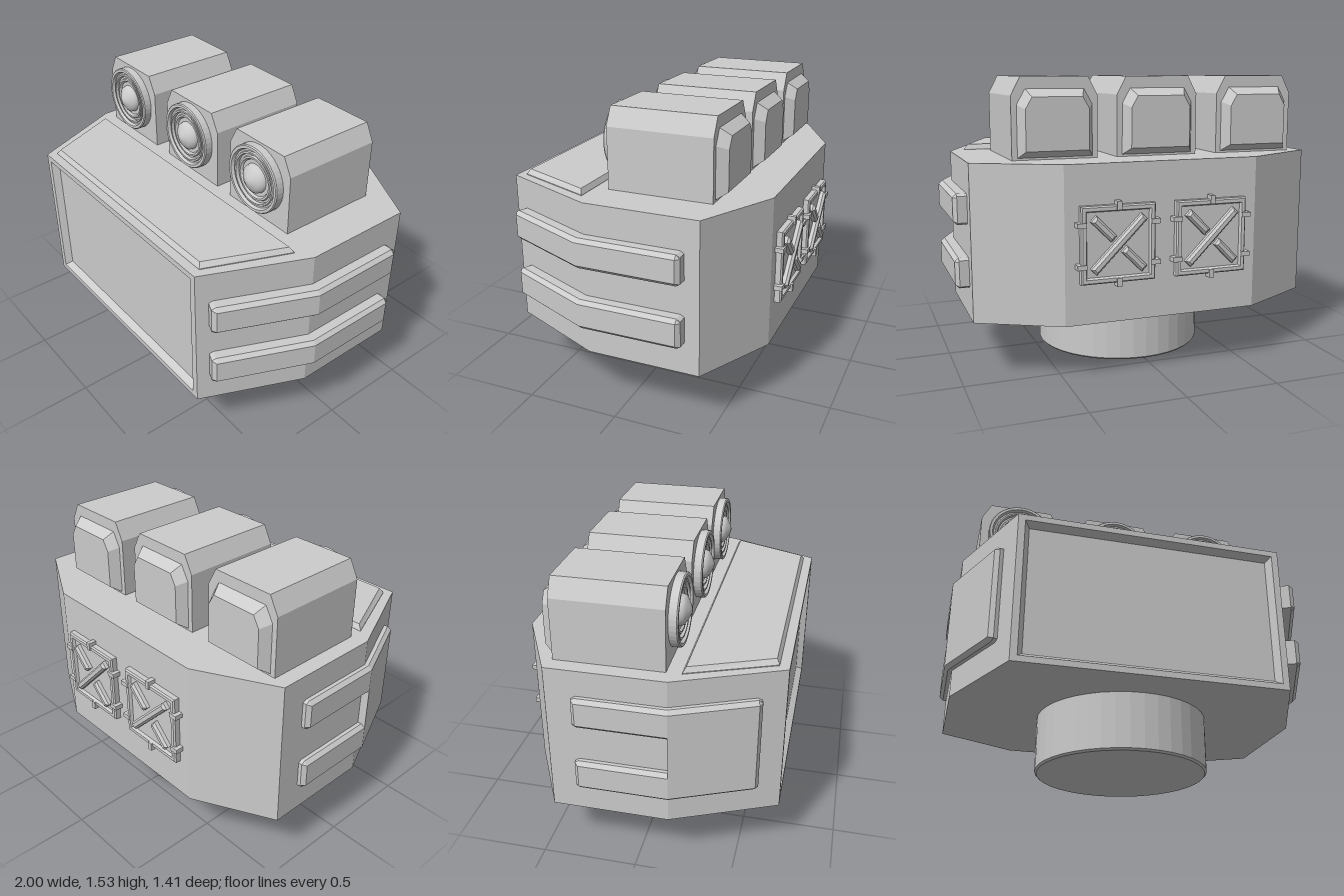
import * as THREE from 'three';

const CX = -0.015; // centre line of the housing
const BEND = 0.17; // z where the side walls turn towards the front
const flat = new THREE.MeshStandardMaterial({ color: 0xcccccc, flatShading: true });
const smooth = new THREE.MeshStandardMaterial({ color: 0xcccccc });

function add(parent, name, geometry, material = flat) {
  const mesh = new THREE.Mesh(geometry, material);
  mesh.name = name;
  parent.add(mesh);
  return mesh;
}

// Skin a row of convex rings and cap both ends; rings run counterclockwise seen from the last one
function loft(rings) {
  const pos = [];
  const tri = (...pts) => pts.forEach((p) => pos.push(...p));
  const n = rings[0].length;
  for (let i = 0; i + 1 < rings.length; i++) {
    for (let j = 0; j < n; j++) {
      const k = (j + 1) % n;
      tri(rings[i][j], rings[i][k], rings[i + 1][k]);
      tri(rings[i][j], rings[i + 1][k], rings[i + 1][j]);
    }
  }
  const first = rings[0], last = rings[rings.length - 1];
  for (let j = 1; j + 1 < n; j++) {
    tri(first[0], first[j + 1], first[j]);
    tri(last[0], last[j], last[j + 1]);
  }
  const g = new THREE.BufferGeometry();
  g.setAttribute('position', new THREE.Float32BufferAttribute(pos, 3));
  g.computeVertexNormals();
  return g;
}

// Ring shapes
const rect = (h, y0, y1, z) => [[-h, y0, z], [h, y0, z], [h, y1, z], [-h, y1, z]];
const podRing = (h, y0, y1, cx, cy, z) => [
  [-h, y0, z], [h, y0, z], [h, y1 - cy, z], [h - cx, y1, z], [-h + cx, y1, z], [-h, y1 - cy, z],
];
const trapezoid = (front, back, zf, zb, y) => [[front, y, zf], [back, y, zb], [-back, y, zb], [-front, y, zf]];

// Point on the side wall at depth z, pushed outwards by w (mitred at the bend)
function wallPoint(z, w) {
  if (z < BEND) return [0.945 + w, z];
  if (z === BEND) return [0.945 + w, z + 0.21 * w];
  return [0.945 - (z - BEND) * 0.439 + 0.916 * w, z + 0.402 * w];
}

// Bevelled rail that follows the side wall from za to zb
function rail(side, za, zb, ya, yb, w, b = 0.02) {
  const stations = [];
  if (za !== BEND) stations.push([za, true]);
  stations.push([za === BEND ? za : za + b, false]);
  if (za < BEND && zb > BEND) stations.push([BEND, false]);
  stations.push([zb === BEND ? zb : zb - b, false]);
  if (zb !== BEND) stations.push([zb, true]);
  return loft(stations.map(([z, end]) => {
    const e = end ? b * 0.6 : 0;
    const top = end ? w - b : w;
    const profile = [
      [-0.01, ya + e], [w - b, ya + e], [top, ya + b], [top, yb - b], [w - b, yb - e], [-0.01, yb - e],
    ];
    const ring = profile.map(([out, y]) => {
      const [x, pz] = wallPoint(z, out);
      return [side * x, y, pz];
    });
    return side > 0 ? ring : ring.reverse();
  }));
}

// Launcher pod with a bevelled rear cap and a ringed lens
function makePod() {
  const pod = new THREE.Group();
  pod.name = 'pod';
  add(pod, 'podShell', loft([
    podRing(0.226, 1.11, 1.535, 0.05, 0.095, -0.415),
    podRing(0.226, 1.11, 1.535, 0.05, 0.095, 0.145),
  ]));
  add(pod, 'podRearCap', loft([
    podRing(0.165, 1.165, 1.435, 0.035, 0.06, -0.47),
    podRing(0.2, 1.126, 1.477, 0.045, 0.08, -0.41),
  ]));
  const housing = [
    [0.182, 0], [0.182, 0.04], [0.177, 0.046], [0.162, 0.046], [0.155, 0.03], [0.146, 0.03],
    [0.143, 0.038], [0.134, 0.038], [0.13, 0.022], [0.12, 0.022], [0.116, 0.032], [0.106, 0.032],
    [0.098, 0.02], [0, 0.02],
  ].map(([r, y]) => new THREE.Vector2(r, y));
  const dome = [[0.078, 0.02], [0.074, 0.042], [0.055, 0.056], [0.03, 0.069], [0.012, 0.076], [0, 0.077]]
    .map(([r, y]) => new THREE.Vector2(r, y));
  for (const [name, points, mat] of [['lensHousing', housing, flat], ['lensDome', dome, smooth]]) {
    const mesh = add(pod, name, new THREE.LatheGeometry(points, 40), mat);
    mesh.rotation.x = Math.PI / 2;
    mesh.position.set(0, 1.34, 0.145);
  }
  return pod;
}

// Rear hatch: rimmed plate, cross brace and edge clips, facing local +z
function makeHatch() {
  const hatch = new THREE.Group();
  hatch.name = 'rearHatch';
  const square = (h, z) => rect(h, -h, h, z);
  add(hatch, 'hatchPlate', loft([
    square(0.197, -0.01), square(0.197, 0.028), square(0.19, 0.036),
    square(0.172, 0.036), square(0.165, 0.02),
  ]));
  const brace = (length) => loft([
    rect(length / 2, -0.021, 0.021, 0.01), rect(length / 2, -0.021, 0.021, 0.04),
    rect(length / 2 - 0.012, -0.01, 0.01, 0.053),
  ]);
  add(hatch, 'longBrace', brace(0.38)).rotation.z = Math.PI / 4;
  for (const s of [-1, 1]) {
    const short = add(hatch, 'shortBrace', brace(0.15));
    short.rotation.z = -Math.PI / 4;
    short.position.set(s * 0.081, -s * 0.081, 0);
    add(hatch, 'edgeClip', new THREE.BoxGeometry(0.025, 0.045, 0.05)).position.set(0, s * 0.195, 0.02);
    for (const t of [-1, 1]) {
      add(hatch, 'sideClip', new THREE.BoxGeometry(0.05, 0.025, 0.05)).position.set(s * 0.195, t * 0.105, 0.02);
    }
  }
  return hatch;
}

export function createModel() {
  const model = new THREE.Group();
  model.name = 'turret';

  // Round pedestal with a softened lower edge
  const foot = [[0, 0], [0.457, 0], [0.467, 0.01], [0.467, 0.31]].map(([r, y]) => new THREE.Vector2(r, y));
  add(model, 'pedestal', new THREE.LatheGeometry(foot, 40)).position.set(-0.008, 0, 0.018);

  const housing = new THREE.Group();
  housing.name = 'housing';
  housing.position.x = CX;
  model.add(housing);

  // Eight-sided body behind a framed, sunken front panel
  const half = [[0.7265, 0.665], [0.945, BEND], [0.945, -0.437], [0.525, -0.655]];
  const outline = [...half, ...half.map(([x, z]) => [-x, z]).reverse()];
  add(housing, 'body', loft([0.305, 1.118].map((y) => outline.map(([x, z]) => [x, y, z]))));
  add(housing, 'frontPanel', loft([
    rect(0.7265, 0.305, 1.118, 0.665), rect(0.709, 0.305, 1.118, 0.705),
    rect(0.673, 0.337, 1.086, 0.705), rect(0.647, 0.362, 1.061, 0.668),
  ]));
  add(housing, 'roofPlate', loft([
    trapezoid(0.68, 0.86, 0.655, 0.222, 1.11), trapezoid(0.68, 0.86, 0.655, 0.222, 1.122),
    trapezoid(0.663, 0.837, 0.64, 0.236, 1.147),
  ]));

  // Two rails on the left wall
  for (const y of [0.466, 0.796]) add(housing, 'leftRail', rail(1, -0.36, 0.645, y, y + 0.16, 0.07));

  // Forked guard on the right wall: plate in front, two prongs behind
  add(housing, 'rightGuardPlate', rail(-1, BEND, 0.59, 0.45, 0.98, 0.04));
  for (const y of [0.45, 0.815]) add(housing, 'rightGuardProng', rail(-1, -0.3, BEND, y, y + 0.165, 0.04));

  // Row of pods on the roof
  for (const x of [-0.65, -0.076, 0.483]) {
    const pod = makePod();
    pod.position.x = x;
    model.add(pod);
  }

  // Hatches on the back wall
  for (const x of [-0.272, 0.238]) {
    const hatch = makeHatch();
    hatch.rotation.y = Math.PI;
    hatch.position.set(x, 0.715, -0.655);
    model.add(hatch);
  }
  return model;
}
